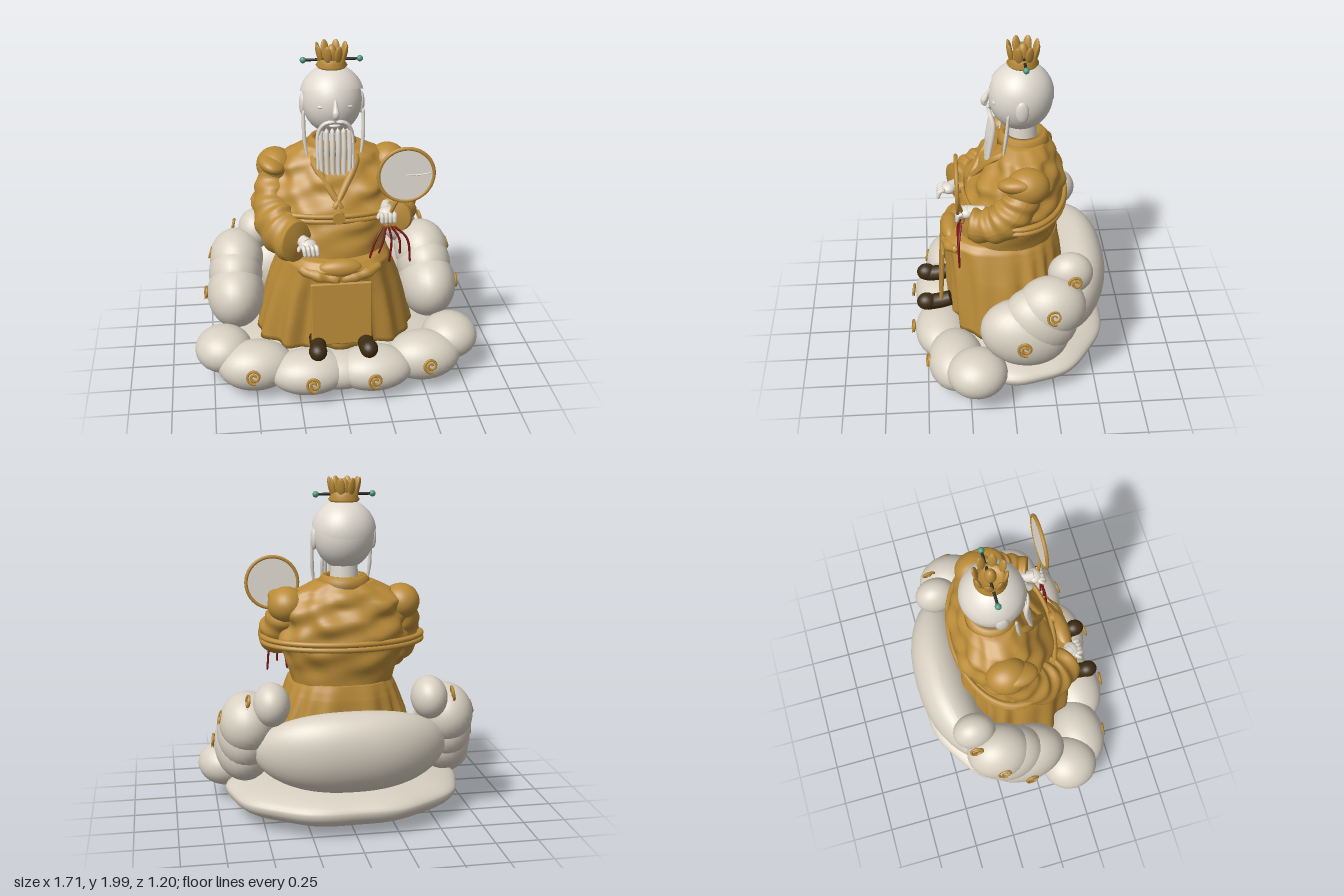
import * as THREE from 'three';
import { RoundedBoxGeometry } from 'three/addons/geometries/RoundedBoxGeometry.js';

const mat = (name, color, side = THREE.FrontSide) => {
  const m = new THREE.MeshStandardMaterial({ color, side });
  m.name = name;
  return m;
};

export function createModel() {
  const root = new THREE.Group();
  const cloud = mat('cloud ivory', 0xd8d0c2);
  const skin = mat('porcelain', 0xdfd9cf, THREE.DoubleSide);
  const silk = mat('fan silk', 0xeae5dc);
  const gold = mat('robe gold', 0xba8b38);
  const dark = mat('shoe brown', 0x3d2c12);
  const rod = mat('pin black', 0x2a2620);
  const red = mat('tassel red', 0x7c1616);
  const jade = mat('jade', 0x4f9a80);

  const add = (name, geo, m, x = 0, y = 0, z = 0, parent = root) => {
    const mesh = new THREE.Mesh(geo, m);
    mesh.name = name;
    mesh.position.set(x, y, z);
    parent.add(mesh);
    return mesh;
  };
  const ball = (name, m, p, r, seg = 28) => {
    const mesh = add(name, new THREE.SphereGeometry(1, seg, Math.round(seg * 0.7)), m, ...p);
    mesh.scale.set(...r);
    return mesh;
  };

  // Stacked oval rings: [y, halfWidth, zFront, zBack, foldDepth]
  const loft = (rings, fold, power = 1, sub = 5, n = 144) => {
    const pos = [], idx = [];
    const rows = (rings.length - 1) * sub;
    const curves = [0, 1, 2, 3, 4].map(k => rings.map(r => r[k] ?? 0));
    const at = (list, t) => {
      const i = Math.min(Math.floor(t), list.length - 2);
      return THREE.MathUtils.lerp(list[i], list[i + 1], t - i);
    };
    const bend = v => Math.sign(v) * Math.abs(v) ** power;
    for (let i = 0; i <= rows; i++) {
      const [y, w, zf, zb, amp] = curves.map(c => at(c, i / sub));
      for (let j = 0; j < n; j++) {
        const a = (j / n) * Math.PI * 2;
        const f = amp * fold(a, y);
        pos.push(bend(Math.sin(a)) * (w + f), y, (zf + zb) / 2 + bend(Math.cos(a)) * ((zf - zb) / 2 + f));
        if (i < rows) {
          const k = (j + 1) % n, p = i * n + j, q = i * n + k;
          idx.push(p, q, q + n, p, q + n, p + n);
        }
      }
    }
    const g = new THREE.BufferGeometry();
    g.setAttribute('position', new THREE.Float32BufferAttribute(pos, 3));
    g.setIndex(idx);
    g.computeVertexNormals();
    return g;
  };

  // Tube with changing radius, closed ends, optional cloth wrinkles
  const taper = (points, radii, { seg = 24, sides = 8, stretch = 1, wrinkle = 0 } = {}) => {
    const curve = new THREE.CatmullRomCurve3(points.map(p => new THREE.Vector3(...p)));
    const g = new THREE.TubeGeometry(curve, seg, 1, sides);
    const pos = g.attributes.position, v = new THREE.Vector3();
    for (let i = 0; i <= seg; i++) {
      const c = curve.getPointAt(i / seg);
      const t = (i / seg) * (radii.length - 1), k = Math.min(Math.floor(t), radii.length - 2);
      const r = i === 0 || i === seg ? 0 : THREE.MathUtils.lerp(radii[k], radii[k + 1], t - k);
      for (let j = 0; j <= sides; j++) {
        const id = i * (sides + 1) + j, a = (j / sides) * Math.PI * 2;
        const f = 1 + wrinkle * (Math.sin(i * 0.75 + 2 * Math.sin(a)) + 0.6 * Math.sin(3 * a + i * 0.4));
        v.fromBufferAttribute(pos, id).sub(c).multiplyScalar(r * f);
        pos.setXYZ(id, c.x + v.x, c.y + v.y * stretch, c.z + v.z);
      }
    }
    g.computeVertexNormals();
    return g;
  };

  // Cloud seat: dished slab ringed with puffs
  const slab = Array.from({ length: 25 }, (_, i) => {
    const t = (i / 24) * Math.PI, r = Math.sin(t) ** 0.75;
    return [0.16 - (t < Math.PI / 2 ? 0.155 : 0.1) * Math.cos(t), 0.7 * r, -0.06 + 0.5 * r, -0.06 - 0.535 * r, 0.008 * r];
  });
  add('cloudBase', loft(slab, (a, y) => Math.cos(9 * a) + 0.5 * Math.sin(5 * a + 9 * y), 1, 1), cloud);
  ball('frontPuff', cloud, [0, 0.15, 0.38], [0.22, 0.115, 0.15]);
  for (const s of [1, -1]) {
    ball('frontPuff', cloud, [s * 0.19, 0.16, 0.405], [0.235, 0.13, 0.165]);
    ball('frontPuff', cloud, [s * 0.5, 0.18, 0.33], [0.225, 0.147, 0.165]);
    ball('cornerPuff', cloud, [s * 0.685, 0.235, 0.21], [0.17, 0.135, 0.175]);
    ball('armPuff', cloud, [s * 0.595, 0.45, -0.07], [0.175, 0.205, 0.26]).rotation.x = -0.25;
    ball('armBridge', cloud, [s * 0.59, 0.54, -0.16], [0.165, 0.19, 0.22]).rotation.x = -0.5;
    ball('upperArmPuff', cloud, [s * 0.58, 0.62, -0.22], [0.165, 0.18, 0.2]);
    ball('topPuff', cloud, [s * 0.455, 0.755, -0.34], [0.105, 0.125, 0.13]);
  }
  const back = new THREE.SphereGeometry(1, 40, 28), bp = back.attributes.position;
  for (let i = 0; i < bp.count; i++) {
    const x = bp.getX(i), y = bp.getY(i);
    bp.setXYZ(i, Math.sign(x) * Math.abs(x) ** 0.85 * 0.56, y * 0.245, bp.getZ(i) * 0.18 + x * x * 0.1 - y * 0.03);
  }
  back.computeVertexNormals();
  add('backPuff', back, cloud, 0, 0.475, -0.42);

  // Gilded spirals on the puffs
  const spiral = new THREE.CatmullRomCurve3(Array.from({ length: 26 }, (_, i) => {
    const a = i * 0.45, r = 0.008 + i * 0.0015;
    return new THREE.Vector3(Math.cos(a) * r, Math.sin(a) * r, 0);
  }));
  const swirlGeo = new THREE.TubeGeometry(spiral, 72, 0.0085, 6);
  for (const s of [1, -1]) {
    for (const [x, y, z, nx, ny, nz] of [[0.18, 0.175, 0.582, 0.1, 0.12, 1], [0.52, 0.195, 0.492, 0.15, 0.15, 1],
      [0.775, 0.47, -0.06, 1, 0.1, 0.1], [0.735, 0.66, -0.225, 1, 0.3, -0.1], [0.59, 0.78, -0.355, 1, 0.2, -0.1]]) {
      const m = add('swirl', swirlGeo, gold, s * x, y, z);
      m.lookAt(s * (x + nx), y + ny, z + nz);
    }
  }

  // Robe: pleated skirt, wrinkled torso
  add('skirt', loft([[0.26, 0, 0, 0], [0.262, 0.465, 0.335, -0.33, 0.02], [0.4, 0.435, 0.345, -0.34, 0.019],
    [0.6, 0.385, 0.355, -0.33, 0.013], [0.74, 0.335, 0.37, -0.32, 0.006], [0.79, 0.315, 0.38, -0.31, 0.003],
    [0.83, 0.285, 0.34, -0.3], [0.86, 0, 0.01, 0.01]], (a, y) => 0.8 * Math.cos(17 * a + 2 * Math.sin(3 * a)) + 0.6 * Math.sin(9 * a + 3 * y), 0.82), gold);
  add('torso', loft([[0.76, 0.29, 0.3, -0.29], [0.9, 0.32, 0.29, -0.31, 0.006], [1.0, 0.36, 0.27, -0.33, 0.012],
    [1.08, 0.385, 0.24, -0.34, 0.016], [1.2, 0.365, 0.175, -0.325, 0.022], [1.3, 0.335, 0.1, -0.295, 0.02],
    [1.36, 0.27, 0.06, -0.26, 0.012], [1.41, 0.17, 0.03, -0.22, 0.003], [1.42, 0, -0.1, -0.1]],
  (a, y) => 0.5 * Math.sin(3 * a + 31 * y) + 0.45 * Math.sin(5 * a - 43 * y) + 0.4 * Math.sin(11 * a + 23 * y), 0.92, 7), gold);
  const collar = [[0.105, 1.36], [0.15, 1.37], [0.145, 1.42], [0.125, 1.445], [0.095, 1.44], [0.09, 1.38]];
  add('collar', new THREE.LatheGeometry(collar.map(p => new THREE.Vector2(...p)), 40), gold, 0, 0, -0.1);
  const belt = new THREE.TorusGeometry(1, 0.045, 10, 80);
  for (const y of [1.05, 1.08]) {
    const b = add('belt', belt, gold, 0, y, -0.045);
    b.scale.set(0.465, 0.3, 0.35);
    b.rotation.x = Math.PI / 2;
  }
  const buckle = add('buckle', new THREE.CylinderGeometry(0.036, 0.036, 0.025, 24), gold, 0, 1.075, 0.262);
  buckle.rotation.x = Math.PI / 2;
  for (const s of [1, -1]) {
    add('lapel', taper([[s * 0.14, 1.4, -0.08], [s * 0.115, 1.33, 0.07], [s * 0.04, 1.21, 0.16], [-s * 0.03, 1.1, 0.225]],
      [0.022, 0.024, 0.022, 0.018]), gold);
    ball('shoulder', gold, [s * 0.335, 1.275, -0.1], [0.11, 0.105, 0.125]);
    ball('shoulderFold', gold, [s * 0.355, 1.3, -0.05], [0.085, 0.05, 0.12]).rotation.z = s * 0.35;
  }

  // Front apron, lap folds and shoes
  const apron = add('apron', new RoundedBoxGeometry(0.355, 0.39, 0.022, 3, 0.01), gold, 0, 0.53, 0.395);
  apron.rotation.x = -0.06;
  ball('lapFold', gold, [0, 0.795, 0.335], [0.13, 0.055, 0.055]);
  for (const s of [1, -1]) {
    add('lapSash', taper([[s * 0.24, 0.79, 0.3], [s * 0.16, 0.765, 0.345], [0, 0.735, 0.37]], [0.02, 0.035, 0.025], { wrinkle: 0.12 }), gold);
    add('shoe', taper([[s * 0.14, 0.36, 0.34], [s * 0.14, 0.34, 0.42], [s * 0.147, 0.335, 0.5]], [0.046, 0.048, 0.048], { sides: 16 }), dark);
    ball('shoeToe', dark, [s * 0.148, 0.345, 0.495], [0.053, 0.053, 0.06], 20);
  }

  // Sleeves
  const sleeve = { seg: 48, sides: 32, wrinkle: 0.055 };
  add('rightSleeve', taper([[-0.33, 1.27, -0.1], [-0.355, 1.17, -0.05], [-0.36, 1.04, 0.05], [-0.31, 0.96, 0.18], [-0.235, 0.945, 0.305]],
    [0.09, 0.1, 0.12, 0.122, 0.1], { ...sleeve, stretch: 1.2 }), gold);
  add('leftSleeve', taper([[0.33, 1.27, -0.1], [0.36, 1.17, -0.05], [0.375, 1.07, 0.05], [0.36, 1.04, 0.14], [0.33, 1.04, 0.22]],
    [0.09, 0.1, 0.115, 0.1, 0.09], sleeve), gold);

  // Hands: palm plus fingers
  const hand = (name, wrist, palm, dir) => {
    add(name, taper([wrist, palm.map((v, i) => (v + wrist[i]) / 2), palm], [0.032, 0.036, 0.04], { sides: 14 }), skin);
    ball(name, skin, palm, [0.05, 0.034, 0.045], 18);
    for (let i = 0; i < 4; i++) {
      const x = palm[0] + (i - 1.5) * 0.024, [dx, dy, dz] = dir;
      add('finger', taper([[x, palm[1], palm[2] + 0.02], [x + dx * 0.5, palm[1] + 0.005, palm[2] + dz * 0.7],
        [x + dx, palm[1] + dy, palm[2] + dz]], [0.014, 0.014, 0.01], { seg: 10 }), skin);
    }
    add('thumb', taper([palm, [palm[0] - 0.05, palm[1], palm[2] + 0.03], [palm[0] - 0.06, palm[1] - 0.015, palm[2] + 0.055]],
      [0.015, 0.014, 0.01], { seg: 10 }), skin);
  };
  hand('rightHand', [-0.23, 0.96, 0.26], [-0.185, 0.95, 0.335], [0.015, -0.045, 0.07]);
  hand('leftHand', [0.29, 1.09, 0.13], [0.28, 1.085, 0.24], [0, -0.045, 0.06]);

  // Round fan with tassels
  const fan = new THREE.Group();
  fan.name = 'fan';
  fan.position.set(0.375, 1.335, 0.295);
  root.add(fan);
  add('fanFace', new THREE.CylinderGeometry(0.152, 0.152, 0.01, 48), silk, 0, 0, 0, fan).rotation.x = Math.PI / 2;
  add('fanRim', new THREE.TorusGeometry(0.157, 0.011, 10, 56), gold, 0, 0, 0, fan);
  add('fanRib', taper([[0, 0, 0.005], [0.07, 0, 0.005], [0.145, 0.01, 0.005]], [0.005, 0.004, 0.003]), silk, 0, 0, 0, fan);
  add('fanHandle', taper([[0.33, 1.185, 0.295], [0.305, 1.12, 0.275], [0.28, 1.04, 0.26], [0.275, 1.0, 0.27]], [0.011, 0.011, 0.011, 0.009]), gold);
  for (let i = 0; i < 5; i++) {
    const x = 0.165 + i * 0.062, low = [0.79, 0.85, 0.79, 0.84, 0.785][i];
    add('tassel', taper([[0.255 + i * 0.014, 1.02, 0.275], [0.21 + i * 0.045, 0.94, 0.292], [x, low, 0.292]], [0.006, 0.007, 0.006]), red);
  }

  // Head and face
  add('neck', new THREE.CylinderGeometry(0.074, 0.085, 0.16, 28), skin, 0, 1.46, -0.1);
  ball('head', skin, [0, 1.67, -0.085], [0.174, 0.196, 0.182], 40);
  const cap = add('cap', new THREE.SphereGeometry(0.187, 40, 20, 0, Math.PI * 2, 0, 1.36), skin, 0, 1.685, -0.085);
  cap.rotation.x = -0.31;
  add('nose', taper([[0, 1.72, 0.085], [0, 1.68, 0.105], [0, 1.635, 0.122], [0, 1.622, 0.105]], [0.008, 0.013, 0.021, 0.014], { sides: 14 }), skin);
  ball('mouth', skin, [0, 1.56, 0.06], [0.035, 0.012, 0.02], 16);
  for (const s of [1, -1]) {
    ball('ear', skin, [s * 0.17, 1.65, -0.08], [0.02, 0.065, 0.038], 18);
    ball('closedEye', skin, [s * 0.068, 1.675, 0.07], [0.034, 0.01, 0.011], 16);
    add('moustache', taper([[0, 1.595, 0.1], [s * 0.055, 1.585, 0.092], [s * 0.092, 1.53, 0.075], [s * 0.1, 1.35, 0.1], [s * 0.1, 1.2, 0.125]],
      [0.012, 0.014, 0.012, 0.01, 0.003]), skin);
    add('sideLock', taper([[s * 0.172, 1.64, -0.005], [s * 0.17, 1.48, 0.01], [s * 0.15, 1.32, 0.03]], [0.009, 0.012, 0.004]), skin);
  }
  // Beard strands
  for (let i = -2.5; i <= 2.5; i++) {
    const low = 1.13 + Math.abs(i) * 0.03, x = i * 0.032;
    add('beardStrand', taper([[x, 1.55, 0.07], [x * 1.05, 1.45, 0.1 - Math.abs(i) * 0.005], [x, 1.3, 0.11], [x * 0.9, low, 0.135]],
      [0.013, 0.016, 0.013, 0.003]), skin);
  }

  // Crown with petals, bud and hairpin
  const crown = [[0, 1.86], [0.08, 1.86], [0.09, 1.872], [0.078, 1.89], [0.082, 1.915], [0.068, 1.915], [0.062, 1.885], [0, 1.885]];
  add('crownBase', new THREE.LatheGeometry(crown.map(p => new THREE.Vector2(...p)), 36), gold, 0, 0, -0.095);
  for (let i = 0; i < 8; i++) {
    const a = ((i + 0.5) / 8) * Math.PI * 2;
    const petal = ball('crownPetal', gold, [Math.sin(a) * 0.08, 1.945, -0.095 + Math.cos(a) * 0.08], [0.025, 0.054, 0.013], 16);
    petal.rotation.set(0.2, a, 0, 'YXZ');
  }
  ball('crownBud', gold, [0, 1.93, -0.095], [0.032, 0.06, 0.032], 18);
  add('hairpin', new THREE.CylinderGeometry(0.008, 0.008, 0.32, 10), rod, 0, 1.902, -0.1).rotation.z = Math.PI / 2;
  for (const s of [1, -1]) ball('pinBead', jade, [s * 0.163, 1.902, -0.1], [0.018, 0.018, 0.018], 16);

  return root;
}
